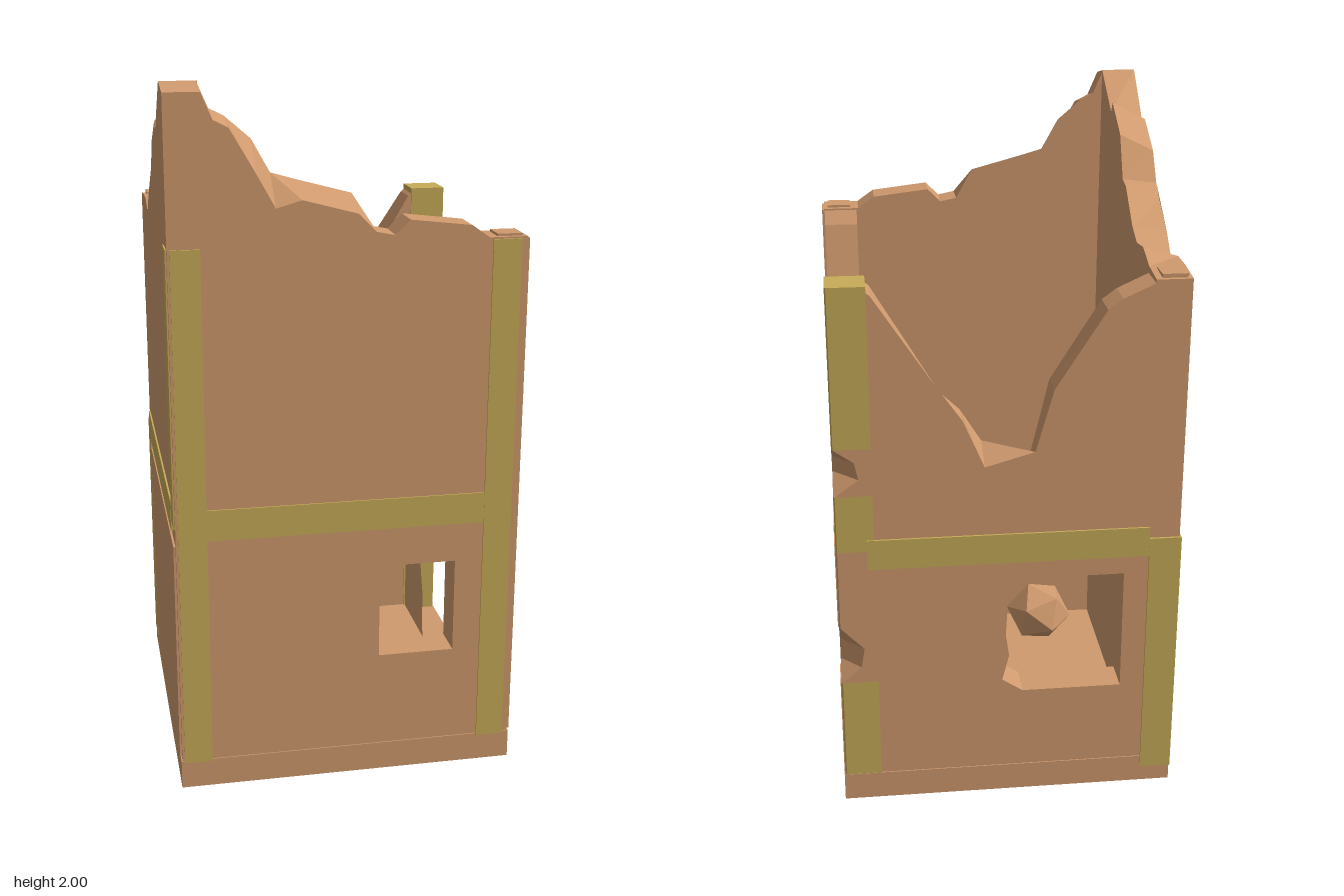
import * as THREE from 'three';

const clay = new THREE.MeshStandardMaterial({ color: 0xd09a6e, flatShading: true });
const ochre = new THREE.MeshStandardMaterial({ color: 0xc8ac58, flatShading: true });

export function createModel() {
  const group = new THREE.Group();
  const add = (name, geometry, material = clay) => {
    const mesh = new THREE.Mesh(geometry, material);
    mesh.name = name;
    group.add(mesh);
    return mesh;
  };
  // box given by its limits on each axis
  const box = (name, [x0, x1], [y0, y1], [z0, z1], material) =>
    add(name, new THREE.BoxGeometry(x1 - x0, y1 - y0, z1 - z0), material)
      .position.set((x0 + x1) / 2, (y0 + y1) / 2, (z0 + z1) / 2);

  // wall slab with a ragged top and an opening; chip(u, y, depth) slants the broken edge
  const T = 0.1;
  const wall = (name, top, opening, chip) => {
    const pts = [[top[0][0], 0], ...top, [top[top.length - 1][0], 0]];
    const shape = new THREE.Shape(pts.map(p => new THREE.Vector2(...p)));
    if (opening) shape.holes.push(new THREE.Path(opening.map(p => new THREE.Vector2(...p))));
    const g = new THREE.ExtrudeGeometry(shape, { depth: T, bevelEnabled: false });
    const p = g.attributes.position;
    for (let i = 0; i < p.count; i++) {
      const u = p.getX(i), y = p.getY(i);
      if (y > 0.9) p.setY(i, y + chip(u, y, p.getZ(i) > T / 2));
    }
    g.computeVertexNormals();
    return add(name, g);
  };

  // plinth and floor
  box('plinth', [-0.49, 0.49], [0, 0.085], [-0.488, 0.49]);
  box('floor', [-0.4, 0.4], [0.05, 0.1], [-0.4, 0.4]);

  // front wall
  wall('frontWall',
    [[-0.487, 2], [-0.39, 2], [-0.36, 1.93], [-0.32, 1.91], [-0.25, 1.85], [-0.2, 1.76], [-0.13, 1.74],
      [0.02, 1.7], [0.07, 1.61], [0.12, 1.6], [0.16, 1.64], [0.33, 1.62], [0.38, 1.585], [0.487, 1.585]],
    [[0.09, 0.37], [0.31, 0.37], [0.31, 0.65], [0.09, 0.65]],
    (u, y, outer) => !outer || u > 0.05 ? 0 : u < -0.3 ? -0.02 : u < -0.15 ? -0.08 : -0.04
  ).position.z = 0.387;

  // back wall, broken down in the middle
  wall('backWall',
    [[-0.387, 1.57], [-0.3, 1.53], [-0.26, 1.5], [-0.12, 1.28], [-0.07, 1.1], [0.07, 1.06],
      [0.13, 1.2], [0.2, 1.3], [0.37, 1.56], [0.395, 1.58]],
    [[-0.33, 0.34], [-0.04, 0.34], [0.02, 0.38], [0, 0.46], [0.01, 0.53], [0, 0.71], [-0.33, 0.71]],
    (u, y, inner) => inner && Math.abs(u) < 0.25 ? 0.04 * Math.sin(u * 25) : 0
  ).position.z = -0.485;

  // left wall
  const left = wall('leftWall',
    [[-0.485, 1.58], [-0.39, 1.59], [-0.3, 1.62], [-0.22, 1.61], [-0.15, 1.64], [-0.04, 1.73], [0.01, 1.74],
      [0.07, 1.86], [0.2, 1.93], [0.22, 1.9], [0.387, 2]],
    null,
    (u, y, outer) => outer && Math.abs(u) < 0.36 ? -0.05 * Math.abs(Math.sin(u * 23)) : 0);
  left.rotation.y = -Math.PI / 2;
  left.position.x = -0.387;

  // right wall, mostly collapsed above the band
  const right = wall('rightWall',
    [[-0.395, 0.99], [-0.36, 0.99], [-0.18, 1.04], [-0.15, 0.91], [0.14, 0.94], [0.18, 1.12],
      [0.28, 1.21], [0.36, 1.54], [0.387, 1.58]],
    [[0.31, 0.12], [0.29, 0.1], [-0.12, 0.1], [-0.14, 0.13], [-0.14, 0.25], [-0.19, 0.38], [-0.21, 0.46],
      [-0.19, 0.53], [-0.14, 0.59], [-0.14, 0.69], [-0.12, 0.71], [0.29, 0.71], [0.31, 0.69]],
    (u, y, inner) => inner && y < 0.97 && Math.abs(u) < 0.2 ? 0.14 : 0);
  right.rotation.y = -Math.PI / 2;
  right.position.x = 0.485;

  // damaged corner post: stacked five-sided sections [height, corner cut]
  const post = (name, levels, material) => {
    const v = [], idx = [];
    levels.forEach(([y, c]) => {
      for (const [x, z] of [[0.38, -0.38], [0.487, -0.38], [0.487, -0.487 + c], [0.487 - c, -0.487], [0.38, -0.487]])
        v.push(x, y, z);
    });
    for (let l = 0; l < levels.length - 1; l++)
      for (let i = 0; i < 5; i++) {
        const a = l * 5 + i, b = l * 5 + (i + 1) % 5;
        idx.push(a, b, a + 5, b, b + 5, a + 5);
      }
    const e = (levels.length - 1) * 5;
    for (let i = 1; i < 4; i++) idx.push(0, i + 1, i, e, e + i, e + i + 1);
    const g = new THREE.BufferGeometry();
    g.setAttribute('position', new THREE.Float32BufferAttribute(v, 3));
    g.setIndex(idx);
    g.computeVertexNormals();
    add(name, g, material);
  };
  const e = 0.004;
  post('lowerPost', [[0, e], [0.4, e]], ochre);
  post('lowerGouge', [[0.4, e], [0.45, 0.06], [0.51, 0.07], [0.58, e]], clay);
  post('middlePost', [[0.58, e], [0.82, e]], clay);
  post('bandPost', [[0.82, e], [0.99, e]], ochre);
  post('upperGouge', [[0.99, e], [1.04, 0.07], [1.09, 0.06], [1.13, e]], clay);
  post('upperPost', [[1.13, e], [1.585, e]], ochre);

  // ochre bands around the storey line
  const band = [0.765, 0.855];
  box('frontBand', [-0.4, 0.39], band, [0.48, 0.491], ochre);
  box('backBand', [-0.4, 0.4], band, [-0.491, -0.48], ochre);
  box('rightBand', [0.48, 0.491], band, [-0.38, 0.4], ochre);
  box('leftBand', [-0.492, -0.48], band, [-0.45, 0.4], ochre);

  // corner strips
  for (const x of [-0.44, 0.43])
    box('frontStrip', [x - 0.04, x + 0.04], [0.08, 1.58], [0.48, 0.492], ochre);
  box('leftFrontStrip', [-0.491, -0.48], [0.8, 1.58], [0.4, 0.475], ochre);
  box('backLeftCornerStrip', [-0.492, -0.4], [0.05, 0.82], [-0.492, -0.4], ochre);

  // raised plates
  box('rightFrontPlate', [0.48, 0.493], [0.09, 1.58], [0.395, 0.485]);
  box('leftLowerPlate', [-0.493, -0.48], [0.1, 0.75], [-0.38, 0.475]);
  for (const y of [[0.09, 0.41], [0.58, 0.84]])
    box('rightBackPlate', [0.48, 0.49], y, [-0.475, -0.395]);

  // small caps on two corners
  for (const s of [-1, 1])
    box('cornerCap', [s * 0.44 - 0.035, s * 0.44 + 0.035], [1.56, 1.592], [s * 0.44 - 0.035, s * 0.44 + 0.035]);

  // fallen rock on the floor
  const rock = add('rock', new THREE.IcosahedronGeometry(0.11, 0));
  rock.scale.set(1, 0.95, 1);
  rock.rotation.set(0.3, 0.5, 0.2);
  rock.position.set(-0.19, 0.19, 0.24);

  return group;
}
